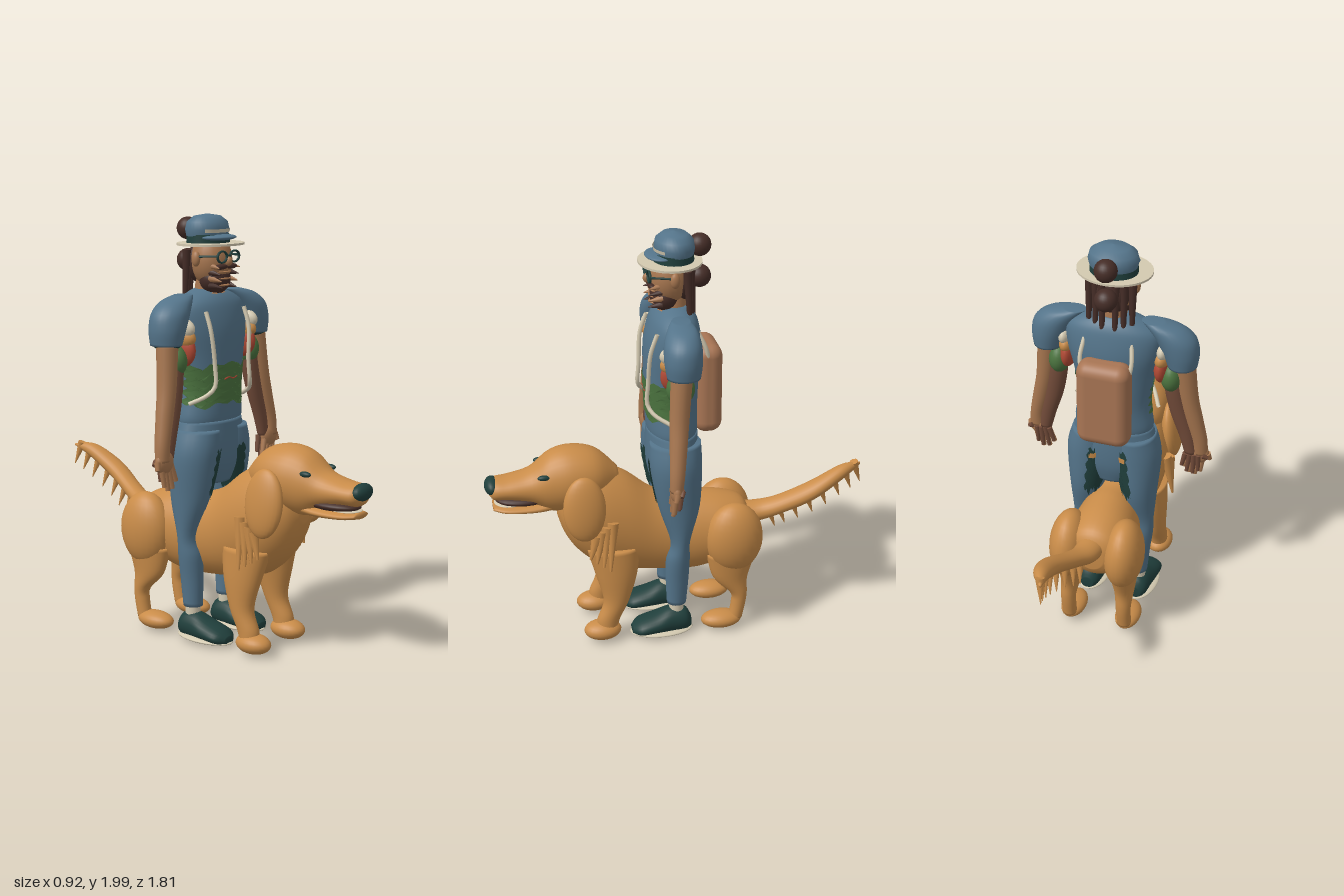
import * as THREE from 'three';
import { RoundedBoxGeometry } from 'three/addons/geometries/RoundedBoxGeometry.js';

const mat = (name, color) => {
  const m = new THREE.MeshStandardMaterial({ color, side: THREE.DoubleSide });
  m.name = name;
  return m;
};

// Smooth surface through elliptical sections [s, c1, c2, r1, r2], s rising along y (rings in xz) or z (rings in xy)
function sampler(axis, secs) {
  return (t, a, grow = 0) => {
    const f = Math.min(t, 0.99999) * (secs.length - 1), i = Math.floor(f), u = f - i;
    const at = k => secs[Math.max(0, Math.min(secs.length - 1, k))];
    const v = secs[0].map((_, k) => {
      const [p, q, r, s] = [at(i - 1)[k], at(i)[k], at(i + 1)[k], at(i + 2)[k]];
      return q + 0.5 * u * (r - p + u * (2 * p - 5 * q + 4 * r - s + u * (3 * (q - r) + s - p)));
    });
    const p = v[1] + (v[3] + grow) * Math.cos(a), q = v[2] + (v[4] + grow) * Math.sin(a);
    return axis === 'y' ? [p, v[0], q] : [p, q, v[0]];
  };
}
function gridGeo(pos, idx) {
  const g = new THREE.BufferGeometry();
  g.setAttribute('position', new THREE.Float32BufferAttribute(pos, 3));
  g.setIndex(idx);
  g.computeVertexNormals();
  return g;
}
// Closed loft with capped ends
function loft(axis, secs, n = 24) {
  const f = sampler(axis, secs), rows = (secs.length - 1) * 5, pos = [], idx = [];
  const tri = (a, b, c) => axis === 'y' ? idx.push(a, b, c) : idx.push(a, c, b);
  for (let i = 0; i <= rows; i++)
    for (let j = 0; j < n; j++) pos.push(...f(i / rows, j / n * Math.PI * 2));
  for (const e of [secs[0], secs[secs.length - 1]])
    pos.push(...(axis === 'y' ? [e[1], e[0], e[2]] : [e[1], e[2], e[0]]));
  const c = (rows + 1) * n;
  for (let j = 0; j < n; j++) {
    const k = (j + 1) % n;
    for (let i = 0; i < rows; i++) {
      const a = i * n + j, b = i * n + k;
      tri(a, a + n, b); tri(b, a + n, b + n);
    }
    tri(c, j, k); tri(c + 1, rows * n + k, rows * n + j);
  }
  return gridGeo(pos, idx);
}
// Ragged patch lying just above a y loft
function patch(secs, t0, t1, a0, a1, grow = 0.004) {
  const f = sampler('y', secs), n = 24, pos = [], idx = [];
  for (let i = 0; i <= n; i++) for (let j = 0; j <= n; j++) {
    const w = 0.06 * (t1 - t0) * (Math.sin(j * 1.3) + Math.sin(j * 0.6));
    const d = 0.05 * (a1 - a0) * Math.sin(i * 1.1);
    pos.push(...f(t0 + (t1 - t0) * i / n + w, a0 + (a1 - a0) * j / n + d, grow));
    if (i < n && j < n) {
      const a = i * (n + 1) + j, b = a + n + 1;
      idx.push(a, b, a + 1, a + 1, b, b + 1);
    }
  }
  return gridGeo(pos, idx);
}
const V = p => new THREE.Vector3(...p);

export function createModel() {
  const M = {
    fur: mat('golden fur', 0xc98c49), denim: mat('denim blue', 0x54748a), skin: mat('skin', 0xa87750),
    hair: mat('dark hair', 0x452d27), shade: mat('inner arm brown', 0x734c3a), teal: mat('dark teal', 0x203f3c),
    green: mat('green', 0x4b733f), red: mat('red', 0xb24a35), cream: mat('cream', 0xd3c9b0), pack: mat('pack tan', 0xa87554),
  };
  const model = new THREE.Group(), person = new THREE.Group(), dog = new THREE.Group();
  person.name = 'person'; dog.name = 'dog';
  model.add(person, dog);
  const add = (g, name, geo, m, pos) => {
    const o = new THREE.Mesh(geo, m);
    o.name = name;
    if (pos) o.position.set(...pos);
    g.add(o);
    return o;
  };
  const ball = (g, name, m, pos, r) => add(g, name, new THREE.SphereGeometry(1, 24, 16).scale(...r), m, pos);
  const rod = (g, name, m, a, b, r0, r1 = r0) => {
    const d = V(b).sub(V(a));
    const o = add(g, name, new THREE.CylinderGeometry(r1, r0, d.length(), 8), m);
    o.position.copy(V(a).add(V(b)).multiplyScalar(0.5));
    o.quaternion.setFromUnitVectors(V([0, 1, 0]), d.normalize());
  };
  const tube = (g, name, m, pts, r) =>
    add(g, name, new THREE.TubeGeometry(new THREE.CatmullRomCurve3(pts.map(V)), 20, r, 8), m);
  const PI = Math.PI;

  // Shirt
  const torso = [[1.04, 0, .02, .18, .112], [1.08, 0, .02, .188, .12], [1.2, 0, .02, .172, .125], [1.35, 0, .02, .19, .13],
    [1.48, 0, .015, .22, .13], [1.58, 0, .01, .22, .11], [1.63, 0, .005, .16, .085], [1.66, 0, 0, .07, .05]];
  add(person, 'shirt', loft('y', torso, 36), M.denim);
  add(person, 'shirtGreenPatch', patch(torso, .22, .4, -.1, PI + .1), M.green);
  tube(person, 'shirtRedStitch', M.red, [[-.05, 1.255, .147], [-.02, 1.262, .149], [.01, 1.254, .149], [.04, 1.26, .147]], .004);
  add(person, 'neckOpening', patch(torso, .9, .99, PI * .38, PI * .62), M.skin);

  // Trousers
  add(person, 'hips', loft('y', [[.76, 0, .02, .11, .09], [.85, 0, .02, .19, .115], [.95, 0, .02, .21, .122], [1.06, 0, .02, .185, .118]], 36), M.denim);

  for (const s of [1, -1]) {
    const side = s > 0 ? 'left' : 'right';
    const P = (x, y, z) => [x * s, y, z];
    const S = secs => secs.map(([a, x, ...r]) => [a, x * s, ...r]);
    const ang = (a, b) => s > 0 ? [a, b] : [PI - b, PI - a];

    // Leg, torn patches and shoe
    const leg = S([[.17, .125, .02, .045, .047], [.3, .13, .018, .052, .055], [.42, .137, .015, .06, .057], [.52, .14, .005, .062, .048],
      [.7, .13, .008, .085, .098], [.9, .115, .02, .113, .122], [1.02, .1, .02, .1, .12]]);
    add(person, side + 'Trouser', loft('y', leg), M.denim);
    add(person, side + 'FrontTear', patch(leg, .68, .86, ...ang(PI * .52, PI * .85), .006), M.teal);
    add(person, side + 'BackTear', patch(leg, .66, .9, ...ang(PI * 1.15, PI * 1.45), .006), M.teal);
    add(person, side + 'BackTearTrim', patch(leg, .84, .87, ...ang(PI * 1.2, PI * 1.43), .009), M.fur);
    add(person, side + 'Sock', new THREE.CylinderGeometry(.036, .036, .08, 16), M.cream, P(.125, .155, .02));
    add(person, side + 'Shoe', loft('z', S([[-.05, .125, .06, .03, .03], [-.02, .125, .075, .055, .06], [.05, .125, .075, .065, .068],
      [.12, .125, .065, .075, .05], [.2, .127, .052, .072, .036], [.24, .127, .042, .03, .018]])), M.teal);
    ball(person, side + 'Sole', M.cream, P(.126, .027, .095), [.083, .016, .155]);

    // Sleeve and coloured lining under it
    add(person, side + 'Sleeve', loft('y', S([[1.43, .318, .025, .068, .075], [1.5, .308, .025, .085, .085], [1.57, .282, .022, .095, .083],
      [1.62, .235, .015, .085, .065], [1.645, .18, .01, .05, .04]])), M.denim);
    ball(person, side + 'SleeveLining', M.teal, P(.312, 1.44, .025), [.066, .035, .07]);
    ball(person, side + 'GreenFlap', M.green, P(.268, 1.355, .03), [.05, .075, .065]);
    ball(person, side + 'RedFlap', M.red, P(.222, 1.4, .035), [.036, .08, .078]);
    ball(person, side + 'OrangeFlap', M.fur, P(.225, 1.455, .035), [.04, .05, .08]);
    ball(person, side + 'CreamFlap', M.cream, P(.232, 1.5, .035), [.035, .05, .083]);

    // Arm and hand
    add(person, side + 'Arm', loft('y', S([[.92, .405, .075, .036, .03], [1.0, .4, .07, .036, .035], [1.12, .372, .06, .042, .04],
      [1.25, .345, .05, .045, .045], [1.45, .322, .035, .052, .05]]), 16), M.skin);
    add(person, side + 'InnerArm', loft('y', S([[.92, .36, .065, .03, .025], [1.02, .34, .06, .038, .03], [1.15, .305, .05, .045, .035],
      [1.28, .28, .04, .045, .04], [1.4, .27, .035, .04, .04]]), 16), M.shade);
    ball(person, side + 'Palm', M.skin, P(.393, .915, .075), [.055, .055, .028]);
    [[.325, .82], [.35, .79], [.38, .785], [.405, .805], [.45, .885]].forEach(([x, y], i) => {
      const kx = .36 + i * .02;
      rod(person, side + 'Finger', M.skin, P(kx, .92, .075), P(x, y, .085), .016, .011);
      rod(person, side + 'FingerShade', M.shade, P(kx - .02, .92, .05), P(x - .005, y + .02, .058), .014, .009);
    });

    // Pack straps
    tube(person, side + 'Strap', M.cream, [P(.14, 1.57, .11), P(.14, 1.48, .14), P(.125, 1.33, .15), P(.13, 1.23, .155), P(.16, 1.19, .13), P(.2, 1.15, .06)], .01);
    tube(person, side + 'BackStrap', M.cream, [P(.11, 1.56, -.08), P(.12, 1.47, -.12), P(.1, 1.37, -.14)], .01);

    // Face side details
    ball(person, side + 'Ear', M.skin, P(.1, 1.8, .02), [.018, .035, .022]);
    add(person, side + 'Lens', new THREE.TorusGeometry(.034, .006, 8, 24).scale(1, .75, 1), M.teal, P(.045, 1.81, .128));
    rod(person, side + 'Temple', M.teal, P(.08, 1.815, .125), P(.105, 1.81, .02), .005);
    ball(person, side + 'Moustache', M.hair, P(.035, 1.765, .115), [.04, .013, .018]);
    for (let i = 0; i < 4; i++)
      rod(person, side + 'BeardLock', i % 2 ? M.hair : M.skin, P(.06, 1.77 - i * .03, .07), P(.075 - i * .008, 1.76 - i * .03, .135), .018, .002);
    for (let i = 0; i < 3; i++)
      rod(person, side + 'HairStrand', M.hair, P(.1 - i * .035, 1.84, -.035 - i * .015), P(.1 - i * .035, 1.64 - i * .012, -.045 - i * .015), .02, .012);

    // Dog legs
    add(dog, side + 'FrontLeg', loft('y', S([[.05, .135, .365, .045, .045], [.12, .135, .355, .045, .055], [.22, .132, .315, .05, .062],
      [.36, .12, .31, .065, .1], [.5, .1, .32, .08, .13]])), M.fur);
    ball(dog, side + 'FrontPaw', M.fur, P(.135, .062, .385), [.066, .047, .09]);
    ball(dog, side + 'Thigh', M.fur, P(.135, .5, -.26), [.095, .18, .14]);
    add(dog, side + 'HindLeg', loft('y', S([[.06, .14, -.27, .035, .035], [.14, .14, -.285, .036, .036], [.2, .14, -.285, .038, .042],
      [.29, .135, -.245, .05, .085], [.42, .13, -.25, .07, .125]])), M.fur);
    ball(dog, side + 'HindPaw', M.fur, P(.14, .056, -.2), [.062, .042, .1]);
    for (let i = 0; i < 4; i++)
      rod(dog, side + 'ShoulderTuft', M.fur, P(.17, .66 - i * .02, .33 + i * .025), P(.205 - i * .008, .42 + i * .02, .35 + i * .03), .028, .006);

    // Dog ear and eye
    const ear = ball(dog, side + 'DogEar', M.fur, P(.165, .74, .46), [.045, .158, .1]);
    ear.rotation.z = s * .12;
    ball(dog, side + 'DogEye', M.teal, P(.098, .888, .635), [.015, .013, .03]);
  }

  // Head, beard and hair
  add(person, 'neck', new THREE.CylinderGeometry(.055, .065, .12, 20), M.skin, [0, 1.67, .01]);
  ball(person, 'head', M.skin, [0, 1.79, .03], [.098, .125, .095]);
  ball(person, 'nose', M.skin, [0, 1.79, .13], [.017, .022, .018]);
  ball(person, 'beard', M.hair, [0, 1.705, .05], [.08, .07, .068]);
  for (let i = 0; i < 3; i++) ball(person, 'beardRow', M.skin, [0, 1.74 - i * .03, .065], [.068 - i * .008, .009, .06]);
  rod(person, 'glassesBridge', M.teal, [-.015, 1.815, .13], [.015, 1.815, .13], .005);
  ball(person, 'hairBack', M.hair, [0, 1.78, -.03], [.085, .1, .05]);
  ball(person, 'upperBun', M.hair, [0, 1.93, -.11], [.052, .052, .052]);
  ball(person, 'lowerBun', M.hair, [0, 1.785, -.11], [.052, .052, .052]);

  // Hat
  add(person, 'brim', new THREE.CylinderGeometry(.172, .172, .01, 40).scale(1, 1, .84), M.cream, [0, 1.865, .025]);
  add(person, 'hatBand', new THREE.CylinderGeometry(.108, .11, .045, 32).scale(1, 1, .85), M.teal, [0, 1.885, .01]);
  add(person, 'crown', new THREE.LatheGeometry([[.108, 1.9], [.115, 1.93], [.106, 1.965], [.07, 1.99], [0, 2]]
    .map(p => new THREE.Vector2(...p)), 32).scale(1, 1, .8), M.denim, [0, 0, .005]);
  add(person, 'hatTrim', new THREE.CylinderGeometry(.117, .113, .016, 24, 1, true, -.9, 1.8).scale(1, 1, .82), M.cream, [0, 1.925, .006]);
  ball(person, 'hatPeak', M.denim, [0, 1.895, .07], [.1, .015, .07]);

  // Backpack
  add(person, 'backpack', new RoundedBoxGeometry(.25, .43, .13, 5, .055), M.pack, [0, 1.265, -.138]);

  // Dog body, head and mouth
  add(dog, 'dogBody', loft('z', [[-.36, 0, .52, .06, .07], [-.32, 0, .52, .13, .13], [-.22, 0, .51, .16, .175], [-.1, 0, .5, .155, .2],
    [0, 0, .5, .145, .2], [.12, 0, .525, .15, .215], [.25, 0, .585, .165, .255], [.38, 0, .63, .17, .26], [.48, 0, .665, .145, .21],
    [.54, 0, .68, .1, .13], [.57, 0, .69, .04, .05]], 32), M.fur);
  add(dog, 'dogHead', loft('z', [[.28, 0, .82, .05, .05], [.38, 0, .845, .125, .12], [.5, 0, .84, .142, .153], [.6, 0, .825, .125, .145],
    [.69, 0, .812, .1, .085], [.79, 0, .812, .088, .056], [.86, 0, .81, .075, .05], [.885, 0, .81, .04, .03]], 32), M.fur);
  ball(dog, 'dogNose', M.teal, [0, .825, .87], [.068, .04, .036]);
  ball(dog, 'mouth', M.hair, [0, .752, .72], [.085, .028, .14]);
  add(dog, 'lowerJaw', loft('z', [[.54, 0, .73, .07, .04], [.66, 0, .715, .09, .028], [.8, 0, .715, .085, .02], [.87, 0, .72, .05, .014]]), M.fur);
  ball(dog, 'teeth', M.cream, [0, .736, .79], [.068, .006, .075]);

  // Tail with hanging fur points
  const tail = [[-.9, .05, .795, .006, .006], [-.8, .08, .77, .038, .036], [-.65, .09, .69, .054, .046], [-.5, .05, .61, .055, .045],
    [-.4, .015, .57, .062, .05], [-.28, .005, .56, .07, .06]];
  add(dog, 'tail', loft('z', tail), M.fur);
  const tailAt = sampler('z', tail);
  for (let i = 0; i < 8; i++) {
    const [x, y, z] = tailAt(.09 + i * .085, -PI * .6, -.02);
    rod(dog, 'tailPoint', M.fur, [x, y + .02, z], [x - .015, y - .095, z - .04], .022, .002);
  }
  return model;
}
